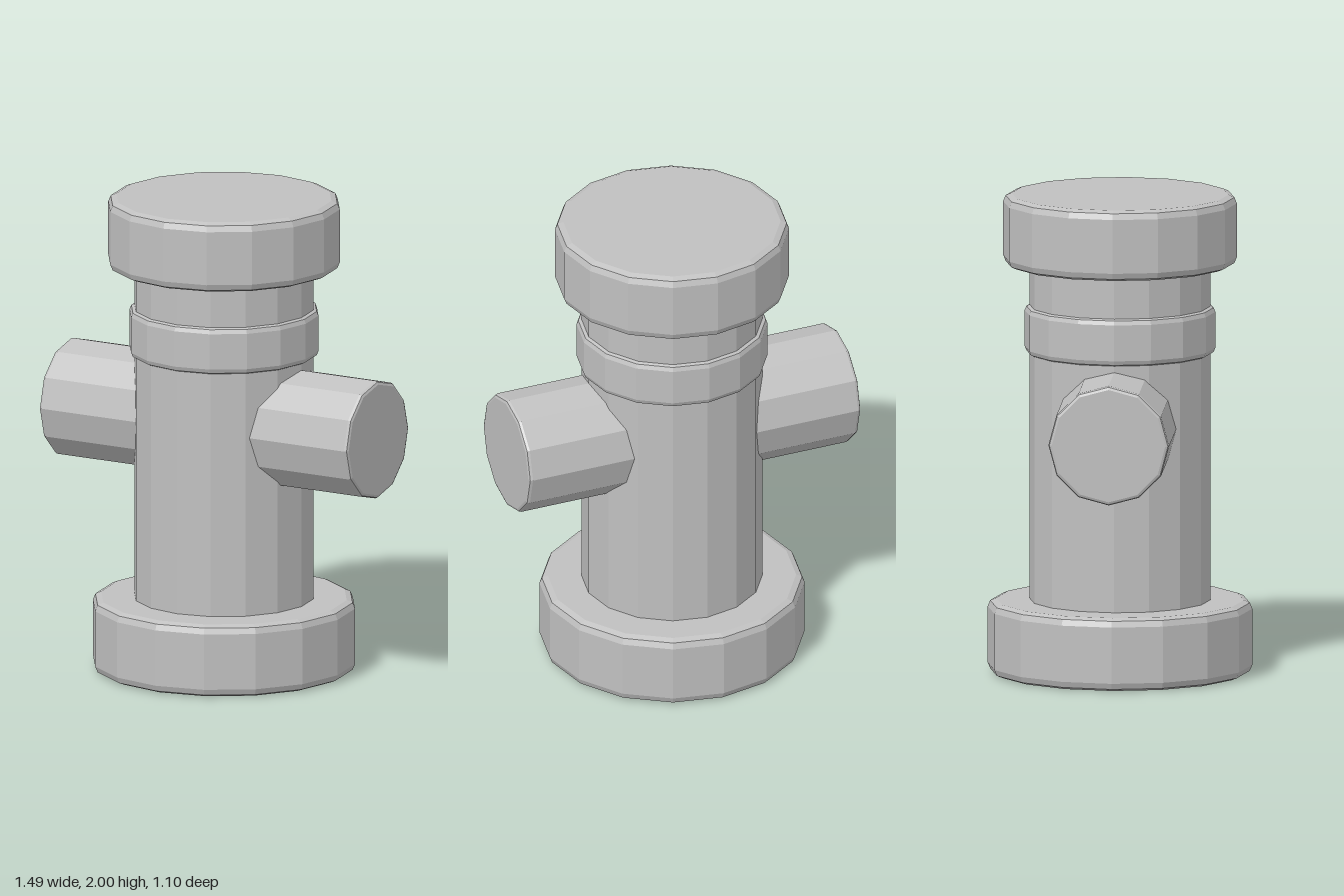
import * as THREE from 'three';

const metal = new THREE.MeshStandardMaterial({ color: 0xc0c0c0 });
metal.name = 'grey metal';

// Faceted solid drum with a two-step rounded rim at both ends
function drum(name, radius, y0, y1, bevel, sides) {
  const profile = [new THREE.Vector2(0, y0)];
  for (let i = 0; i <= 2; i++) {
    const a = (i * Math.PI) / 4;
    profile.push(new THREE.Vector2(radius - bevel * (1 - Math.sin(a)), y0 + bevel * (1 - Math.cos(a))));
  }
  for (let i = 2; i >= 0; i--) {
    const a = (i * Math.PI) / 4;
    profile.push(new THREE.Vector2(radius - bevel * (1 - Math.sin(a)), y1 - bevel * (1 - Math.cos(a))));
  }
  profile.push(new THREE.Vector2(0, y1));
  // Separate the triangles so every facet gets its own flat normal
  const geometry = new THREE.LatheGeometry(profile, sides).toNonIndexed();
  geometry.computeVertexNormals();
  const mesh = new THREE.Mesh(geometry, metal);
  mesh.name = name;
  return mesh;
}

export function createModel() {
  const model = new THREE.Group();
  model.name = 'hydrant';

  // Upright stack: foot, barrel, collar and cap
  model.add(
    drum('base', 0.548, 0, 0.305, 0.035, 16),
    drum('barrel', 0.374, 0.1, 1.8, 0.01, 16),
    drum('collar', 0.395, 1.335, 1.535, 0.025, 16),
    drum('cap', 0.484, 1.705, 2, 0.035, 16)
  );

  // Side outlets, mirrored left and right
  for (const side of [1, -1]) {
    const outlet = drum(side > 0 ? 'leftOutlet' : 'rightOutlet', 0.25, 0.1, 0.745, 0.015, 12);
    outlet.rotation.z = (-side * Math.PI) / 2;
    outlet.position.y = 1.06;
    model.add(outlet);
  }

  return model;
}
